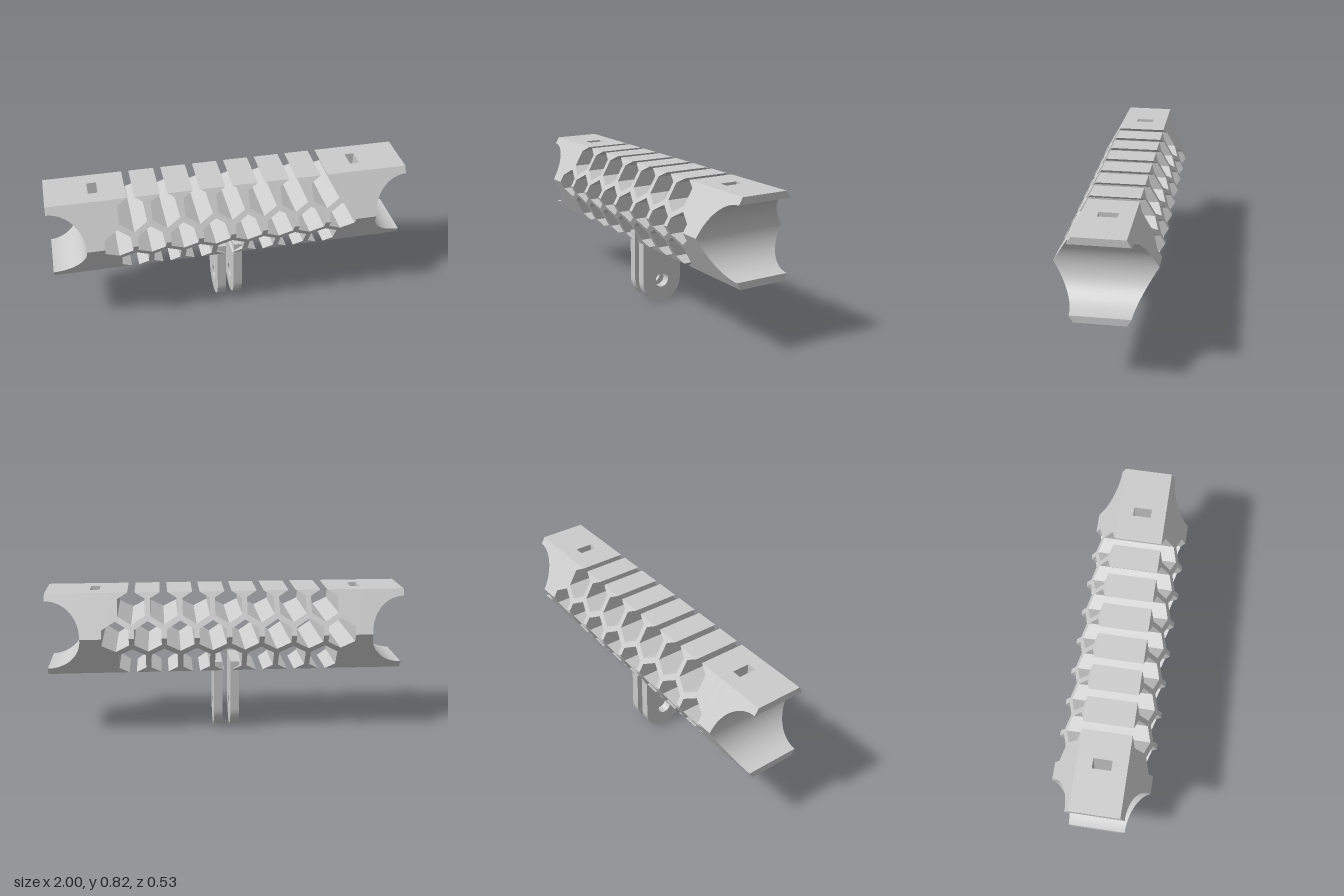
import * as THREE from 'three';
import { toCreasedNormals } from 'three/addons/utils/BufferGeometryUtils.js';

const MID = 0.593;               // height of the body axis
const H = 0.23;                  // half height of the hexagonal bar
const ZMID = 0.265, ZTOP = 0.1325; // half depth at the axis and at the flats
const PITCH = 0.179, R = 0.0865, A = 0.075, CX = -0.01; // honeycomb cells
const SLOT = [0.703, 0.756], SLOT_Z = 0.05, SHIFT = 0.01; // strap slots

const material = new THREE.MeshStandardMaterial({ color: 0xcccccc });

function addMesh(parent, name, geometry) {
  const mesh = new THREE.Mesh(toCreasedNormals(geometry, 0.5), material);
  mesh.name = name;
  parent.add(mesh);
  return mesh;
}

// Extrude a half outline through z, tapering its depth from axis to flat
function taperedHalf(shape) {
  const g = new THREE.ExtrudeGeometry(shape, { depth: 1, bevelEnabled: false, curveSegments: 32 });
  const p = g.attributes.position;
  for (let i = 0; i < p.count; i++) {
    const half = ZMID + (ZTOP - ZMID) * p.getY(i) / H;
    p.setZ(i, (p.getZ(i) - 0.5) * 2 * half);
  }
  return g;
}

// Upper half plus the same half turned over below the axis
function addBothHalves(parent, name, geometry) {
  addMesh(parent, name + 'Upper', geometry);
  addMesh(parent, name + 'Lower', geometry.clone().rotateX(Math.PI));
}

// Honeycomb lattice outline: middle cells bite the axis, upper cells open at the flat
function latticeShape() {
  const pts = [[-SLOT[0] - SHIFT, 0]];
  for (let i = 0; i < 8; i++) {
    const c = CX + (i - 3.5) * PITCH;
    pts.push([c - A, 0], [c - A, R / 2], [c, R], [c + A, R / 2], [c + A, 0]);
  }
  pts.push([SLOT[0], 0], [SLOT[0], H]);
  const d = PITCH * Math.sqrt(3) / 2;
  const w = (d + R - H) * Math.sqrt(3);
  for (let i = 6; i >= 0; i--) {
    const c = CX + (i - 3) * PITCH;
    pts.push([c + w, H], [c + A, d + R / 2], [c + A, d - R / 2], [c, d - R],
      [c - A, d - R / 2], [c - A, d + R / 2], [c - w, H]);
  }
  pts.push([-SLOT[0] - SHIFT, H]);
  return new THREE.Shape(pts.map(([x, y]) => new THREE.Vector2(x, y)));
}

// End block with a quarter of the round saddle cut away
function endShape(inner) {
  const r = 0.192;
  const s = new THREE.Shape();
  s.moveTo(inner, 0);
  s.lineTo(1 - r, 0);
  s.absarc(1, 0, r, Math.PI, Math.PI / 2, true);
  s.lineTo(1, H);
  s.lineTo(inner, H);
  s.closePath();
  return s;
}

// Wall beside a strap slot, running from x0 to x1
function slotWall(x0, x1) {
  const s = new THREE.Shape([[SLOT_Z, -H], [ZTOP, -H], [ZMID, 0], [ZTOP, H], [SLOT_Z, H]]
    .map(([x, y]) => new THREE.Vector2(x, y)));
  return new THREE.ExtrudeGeometry(s, { depth: x1 - x0, bevelEnabled: false })
    .rotateY(Math.PI / 2).translate(x0, 0, 0);
}

// Rounded mounting lug with a bolt hole
function lugGeometry(x0, width) {
  const r = 0.125, top = 0.41;
  const s = new THREE.Shape();
  s.moveTo(r, top);
  s.lineTo(-r, top);
  s.lineTo(-r, r);
  s.absarc(0, r, r, Math.PI, Math.PI * 2, false);
  s.closePath();
  const hole = new THREE.Path();
  hole.absarc(0, r, 0.042, 0, Math.PI * 2, true);
  s.holes.push(hole);
  return new THREE.ExtrudeGeometry(s, { depth: width, bevelEnabled: false, curveSegments: 32 })
    .rotateY(Math.PI / 2).translate(x0, 0, 0);
}

export function createModel() {
  const model = new THREE.Group();
  model.name = 'honeycombHandle';

  const body = new THREE.Group();
  body.name = 'body';
  body.position.y = MID;
  model.add(body);

  addBothHalves(body, 'lattice', taperedHalf(latticeShape()));

  // Ends: slot walls and saddle block, the right one turned half round
  for (const [name, shift, turn] of [['left', 0, 0], ['right', SHIFT, Math.PI]]) {
    const end = new THREE.Group();
    end.name = name + 'End';
    end.rotation.y = turn;
    body.add(end);
    const x0 = SLOT[0] + shift, x1 = SLOT[1] + shift;
    addBothHalves(end, 'saddle', taperedHalf(endShape(x1)));
    const wall = slotWall(x0, x1);
    addMesh(end, 'slotWallBack', wall);
    addMesh(end, 'slotWallFront', wall.clone().rotateX(Math.PI));
  }

  // Pair of mounting lugs underneath
  addMesh(model, 'rightLug', lugGeometry(-0.075, 0.05));
  addMesh(model, 'leftLug', lugGeometry(0.02, 0.05));
  return model;
}
